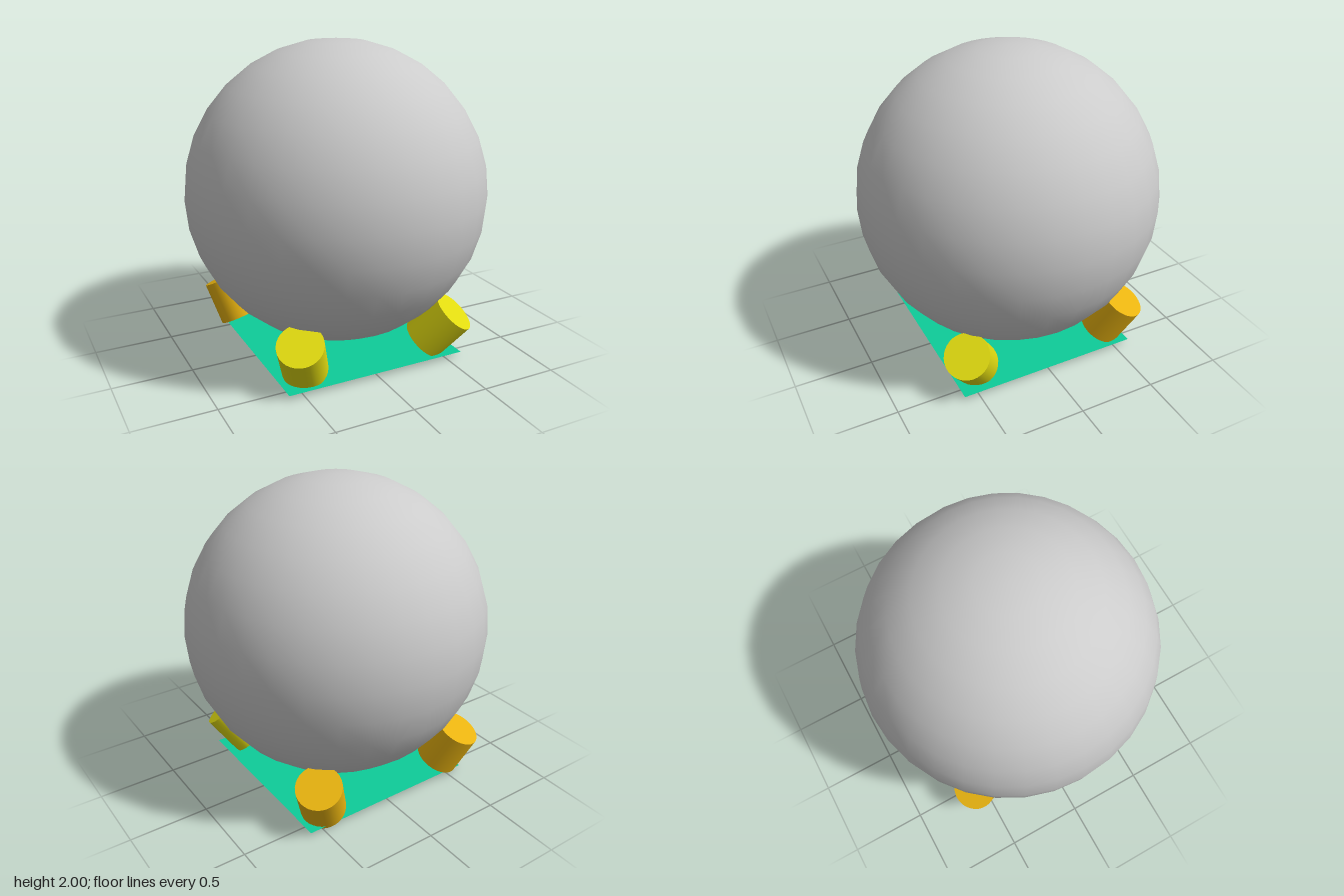
import * as THREE from 'three';

const paint = (color, extra = {}) => new THREE.MeshStandardMaterial({ color, ...extra });
const deg = THREE.MathUtils.degToRad;

export function createModel() {
  const model = new THREE.Group();
  model.name = 'sphereOnLegs';

  const add = (name, geometry, material, x, y, z) => {
    const mesh = new THREE.Mesh(geometry, material);
    mesh.name = name;
    mesh.position.set(x, y, z);
    model.add(mesh);
    return mesh;
  };

  // Large round body
  add('body', new THREE.SphereGeometry(0.956, 32, 16), paint(0xcccccc), 0, 1.044, 0);

  // Thin square base sheet
  const sheet = new THREE.PlaneGeometry(1.2, 1.2).rotateX(-Math.PI / 2);
  add('base', sheet, paint(0x0ecc99, { side: THREE.DoubleSide }), 0, 0.032, 0);

  // Stub legs leaning outwards, each by its own angles: x, z, tilt about x, tilt about z
  const legGeometry = new THREE.CylinderGeometry(0.143, 0.143, 0.286, 32);
  const yellow = paint(0xe0da10);
  const orange = paint(0xe8b310);
  const legs = [
    ['frontLeftLeg', yellow, 0.487, 0.5, 30, -30],
    ['frontRightLeg', yellow, -0.469, 0.5, 30, 18],
    ['backLeftLeg', orange, 0.48, -0.53, -22.5, -20],
    ['backRightLeg', orange, -0.54, -0.53, -22.5, 15],
  ];
  for (const [name, material, x, z, tiltX, tiltZ] of legs) {
    add(name, legGeometry, material, x, 0.202, z).rotation.set(deg(tiltX), 0, deg(tiltZ));
  }

  return model;
}
